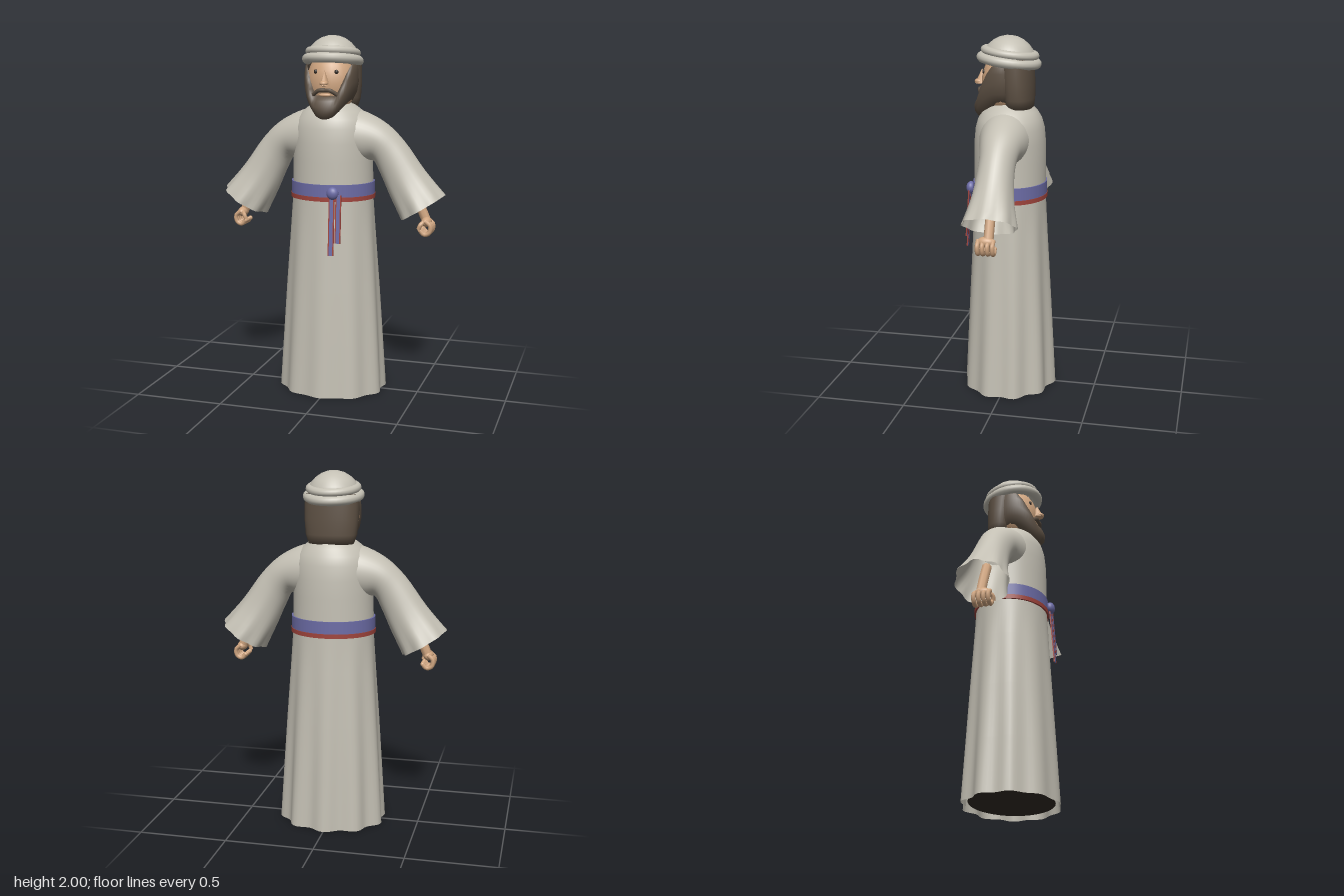
import * as THREE from 'three';

const mat = (name, color, side = THREE.FrontSide) => new THREE.MeshStandardMaterial({ name, color, side });
const V = (x, y, z) => new THREE.Vector3(x, y, z);
const lerp = THREE.MathUtils.lerp;

export function createModel() {
  const root = new THREE.Group();
  root.name = 'robedMan';
  const cloth = mat('cloth', 0xc4c0b4, THREE.DoubleSide);
  const skin = mat('skin', 0xcfa580);
  const hairMat = mat('hair', 0x5e5144, THREE.DoubleSide);
  const blue = mat('beltBlue', 0x6c6ca6);
  const red = mat('beltRed', 0xa0443c);
  const dark = mat('dark', 0x332c26);

  const add = (name, geo, material, parent = root) => {
    const m = new THREE.Mesh(geo, material);
    m.name = name;
    parent.add(m);
    return m;
  };

  // Smooth grid surface: fn(u, row) gives a point; closed wraps around u
  const surface = (fn, nu, nv, closed = true) => {
    const pos = [], idx = [], cols = closed ? nu : nu + 1;
    for (let j = 0; j <= nv; j++)
      for (let i = 0; i < cols; i++) pos.push(...fn(i / nu, j));
    for (let j = 0; j < nv; j++)
      for (let i = 0; i < nu; i++) {
        const a = j * cols + i, b = j * cols + ((i + 1) % cols);
        idx.push(a, b, b + cols, a, b + cols, a + cols);
      }
    const g = new THREE.BufferGeometry();
    g.setAttribute('position', new THREE.Float32BufferAttribute(pos, 3));
    g.setIndex(idx);
    g.computeVertexNormals();
    return g;
  };
  const tube = (pts, r, seg = 12) =>
    new THREE.TubeGeometry(new THREE.CatmullRomCurve3(pts.map(p => V(...p))), seg, r, 8);
  const ball = (x, y, z, rx, ry, rz) =>
    new THREE.SphereGeometry(1, 24, 16).scale(rx, ry, rz).translate(x, y, z);

  // Robe: y, half width, half depth, fold depth
  const robeRows = [
    [0, 0.296, 0.255, 0.06], [0.3, 0.279, 0.241, 0.047], [0.6, 0.261, 0.226, 0.034],
    [0.9, 0.241, 0.21, 0.018], [1.1, 0.229, 0.2, 0], [1.2, 0.227, 0.199, 0],
    [1.32, 0.224, 0.199, 0], [1.42, 0.226, 0.197, 0], [1.5, 0.222, 0.189, 0],
    [1.55, 0.198, 0.175, 0], [1.59, 0.165, 0.152, 0], [1.62, 0.125, 0.122, 0], [1.65, 0.08, 0.09, 0],
  ];
  add('robe', surface((u, j) => {
    const a = u * Math.PI * 2, [y, rx, rz, fold] = robeRows[j];
    const k = 1 + fold * Math.cos(10 * a) * (0.75 - 0.25 * Math.cos(a));
    return [Math.sin(a) * rx * k, y, Math.cos(a) * rz * k];
  }, 80, robeRows.length - 1), cloth);
  add('robeUnderside', new THREE.CircleGeometry(1, 40).rotateX(Math.PI / 2)
    .scale(0.266, 1, 0.228).translate(0, 0.02, 0), dark);

  // Sleeves: upper edge, lower edge and half depth along the arm
  const upper = new THREE.CatmullRomCurve3([V(0.08, 1.615, 0), V(0.2, 1.58, 0), V(0.31, 1.52, 0),
    V(0.405, 1.43, 0), V(0.52, 1.275, 0), V(0.635, 1.14, 0)]);
  const lower = new THREE.CatmullRomCurve3([V(0.12, 1.3, 0), V(0.195, 1.31, 0), V(0.235, 1.32, 0),
    V(0.275, 1.25, 0), V(0.33, 1.13, 0), V(0.4, 0.995, 0)]);
  const depth = new THREE.CatmullRomCurve3([0.15, 0.128, 0.108, 0.097, 0.11, 0.145].map((d, i) => V(i, d, 0)));
  const rows = 20;
  for (const s of [1, -1]) {
    const arm = new THREE.Group();
    arm.name = s > 0 ? 'leftArm' : 'rightArm';
    root.add(arm);
    add('sleeve', surface((u, j) => {
      const a = s * u * Math.PI * 2, t = j / rows;
      const p = upper.getPoint(t), q = lower.getPoint(t);
      const wave = 1 + 0.05 * t ** 6 * Math.cos(8 * a);
      const c = Math.cos(a) * 0.5 * wave;
      return [s * ((p.x + q.x) / 2 + (p.x - q.x) * c), (p.y + q.y) / 2 + (p.y - q.y) * c,
        Math.sin(a) * depth.getPoint(t).y * wave];
    }, 40, rows), cloth, arm);

    // Forearm and curled hand
    const m = pts => pts.map(([x, y, z]) => [s * x, y, z]);
    add('forearm', tube(m([[0.44, 1.2, 0], [0.49, 1.1, 0], [0.532, 1.005, 0]]), 0.027), skin, arm);
    add('palm', ball(s * 0.54, 0.992, 0.012, 0.028, 0.028, 0.048), skin, arm);
    for (const z of [-0.027, 0, 0.027, 0.053]) {
      add('finger', tube(m([[0.54, 1, z], [0.568, 0.975, z], [0.563, 0.938, z],
        [0.535, 0.926, z], [0.512, 0.948, z]]), 0.0125), skin, arm);
      add('fingertip', ball(s * 0.512, 0.948, z, 0.0125, 0.0125, 0.0125), skin, arm);
    }
    add('thumb', tube(m([[0.535, 1, 0.035], [0.515, 0.98, 0.06], [0.505, 0.955, 0.06]]), 0.012), skin, arm);
  }

  // Belt with red lower band, knot and hanging ends
  const band = (name, y0, y1, grow, material) =>
    add(name, new THREE.CylinderGeometry(1, 1, y1 - y0, 48)
      .scale(0.236 + grow, 1, 0.206 + grow).translate(0, (y0 + y1) / 2, 0), material);
  band('beltBlueBand', 1.132, 1.2, 0, blue);
  band('beltRedBand', 1.108, 1.132, 0.003, red);
  add('beltKnot', ball(0.06, 1.157, 0.212, 0.033, 0.035, 0.026), blue);
  for (const [x, bottom] of [[0.056, 0.815], [0.094, 0.885]]) {
    const h = 1.15 - bottom, end = new THREE.Group();
    end.name = 'beltEnd';
    end.position.set(x, 1.15, 0.212);
    end.rotation.x = -0.07;
    root.add(end);
    add('beltEndCloth', new THREE.BoxGeometry(0.02, h, 0.007).translate(0, -h / 2, 0), blue, end);
    for (const e of [-1, 1])
      add('beltEndTrim', new THREE.BoxGeometry(0.006, h, 0.007).translate(e * 0.013, -h / 2, 0), red, end);
  }

  // Head and face
  const head = new THREE.Group();
  head.name = 'head';
  root.add(head);
  add('face', ball(0, 1.745, 0.028, 0.137, 0.175, 0.128), skin, head);
  add('neck', new THREE.CylinderGeometry(0.075, 0.085, 0.14, 20).translate(0, 1.63, 0), skin, head);
  add('nose', new THREE.ConeGeometry(0.027, 0.08, 12).scale(1, 1, 1.5).translate(0, 1.775, 0.158), skin, head);
  add('noseTip', ball(0, 1.746, 0.174, 0.023, 0.016, 0.026), skin, head);
  for (const s of [1, -1]) {
    add('eye', ball(s * 0.058, 1.806, 0.133, 0.011, 0.012, 0.009), dark, head);
    add('moustache', tube([[0, 1.709, 0.163], [s * 0.03, 1.708, 0.165], [s * 0.055, 1.694, 0.155],
      [s * 0.078, 1.674, 0.143]], 0.011), hairMat, head);
  }
  add('lips', ball(0, 1.682, 0.152, 0.034, 0.01, 0.012), skin, head);

  // Hair: y, half width, back z, front z
  const hairRows = [[1.63, 0, -0.05, -0.05], [1.61, 0.125, -0.128, 0.02], [1.66, 0.142, -0.134, 0.035],
    [1.74, 0.149, -0.134, 0.045], [1.82, 0.15, -0.132, 0.06], [1.88, 0.148, -0.128, 0.08]];
  add('hair', surface((u, j) => {
    const a = u * Math.PI * 2, [y, rx, back, front] = hairRows[j];
    const c = Math.cos(a);
    return [Math.sin(a) * rx, y, (back + front) / 2 + Math.sign(c) * Math.abs(c) ** 0.8 * (front - back) / 2];
  }, 36, hairRows.length - 1), hairMat, head);

  // Beard, from the tucked underside up to the cheek line: t, half width, depth
  const beardRows = [[-0.2, 0.03, 0.03], [0, 0.085, 0.115], [0.1, 0.115, 0.148], [0.3, 0.138, 0.168],
    [0.55, 0.148, 0.172], [0.8, 0.147, 0.158], [0.95, 0.144, 0.137], [1, 0.136, 0.122]];
  add('beard', surface((u, j) => {
    const a = lerp(-1.75, 1.75, u), s = Math.abs(Math.sin(a)), [t, rx, rz] = beardRows[j];
    const top = 1.678 + 0.17 * THREE.MathUtils.clamp((s - 0.42) / 0.52, 0, 1);
    const bottom = 1.54 + 0.09 * s * s;
    return [Math.sin(a) * rx, lerp(bottom, top, Math.abs(t)), 0.028 + Math.cos(a) * rz];
  }, 36, beardRows.length - 1, false), hairMat, head);

  // Turban: dome and two tilted rolls
  const turban = new THREE.Group();
  turban.name = 'turban';
  turban.position.set(0, 1.87, 0.006);
  turban.rotation.x = -0.13;
  root.add(turban);
  const roll = (name, r, tr, y, sy) =>
    add(name, new THREE.TorusGeometry(r, tr, 12, 40).rotateX(Math.PI / 2)
      .scale(1, sy, 1.06).translate(0, y, 0), cloth, turban);
  roll('lowerRoll', 0.14, 0.029, -0.005, 0.95);
  roll('upperRoll', 0.126, 0.026, 0.037, 0.9);
  const dome = [[0.146, -0.02], [0.14, 0.03], [0.124, 0.066], [0.1, 0.092], [0.068, 0.114], [0.035, 0.126], [0, 0.13]];
  add('turbanDome', new THREE.LatheGeometry(dome.map(p => new THREE.Vector2(...p)), 40), cloth, turban);

  return root;
}
